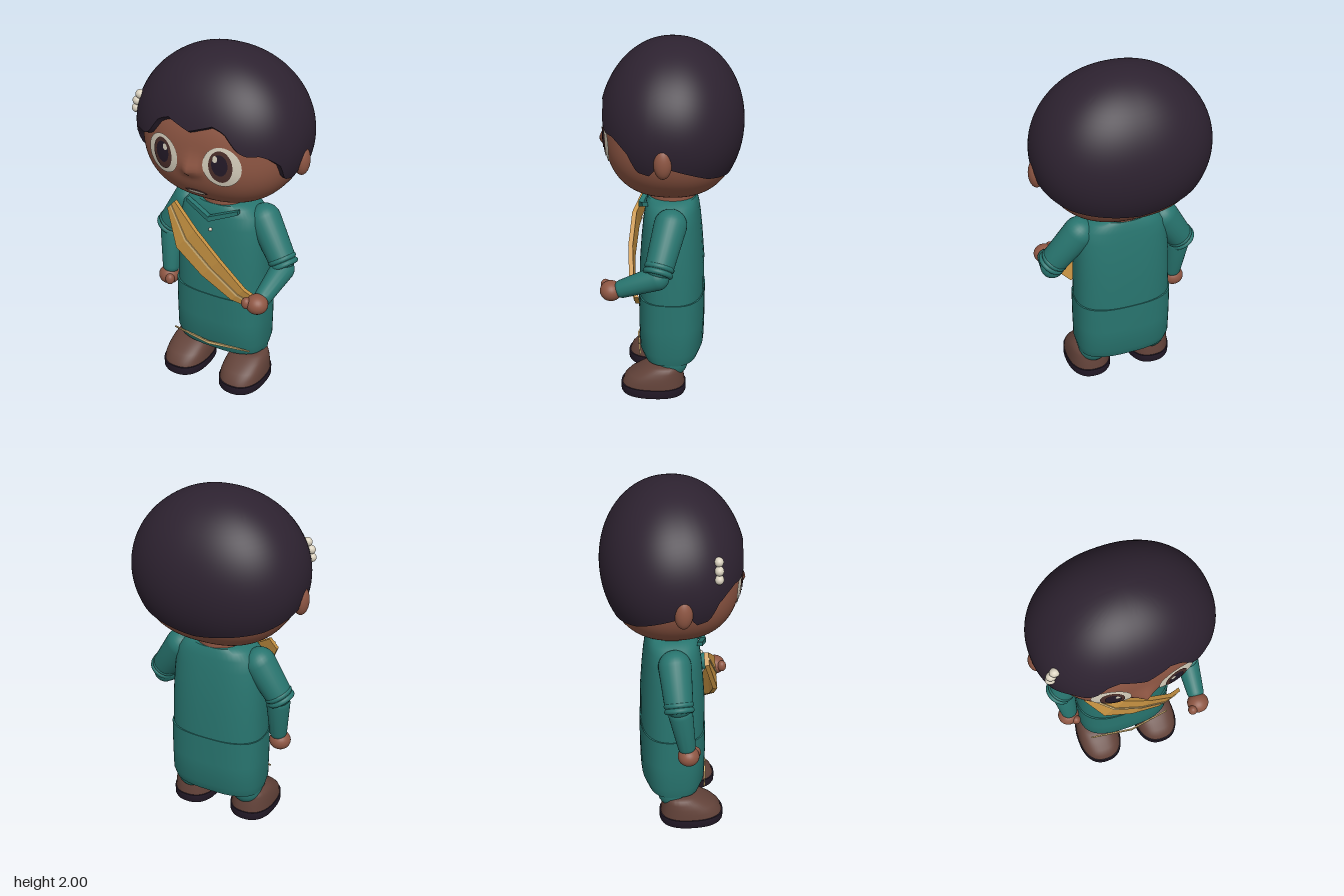
import * as THREE from 'three';
import { toCreasedNormals } from 'three/addons/utils/BufferGeometryUtils.js';

const V = (x, y, z) => new THREE.Vector3(x, y, z);
const mat = (name, color) => {
  const m = new THREE.MeshStandardMaterial({ color });
  m.name = name;
  return m;
};

// Signed power, used for squared-off ellipses
const sp = (v, p) => Math.sign(v) * Math.pow(Math.abs(v), 2 / p);

// Closed skin through rings of points, capped at both ends
function loft(rings, crease = 0.7) {
  const n = rings[0].length, pos = [], idx = [];
  rings.forEach(r => r.forEach(p => pos.push(p.x, p.y, p.z)));
  const centre = r => r.reduce((s, p) => s.add(p), V(0, 0, 0)).divideScalar(n);
  const last = rings.length - 1, c0 = rings.length * n, c1 = c0 + 1;
  for (const r of [rings[0], rings[last]]) pos.push(...centre(r).toArray());
  for (let j = 0; j < n; j++) {
    const k = (j + 1) % n;
    for (let i = 0; i < last; i++) {
      const a = i * n + j, b = i * n + k;
      idx.push(a, b, b + n, a, b + n, a + n);
    }
    idx.push(c0, k, j, c1, last * n + j, last * n + k);
  }
  const g = new THREE.BufferGeometry();
  g.setAttribute('position', new THREE.Float32BufferAttribute(pos, 3));
  g.setIndex(idx);
  return toCreasedNormals(g, crease);
}

// Upright body from sections [y, halfWidth, halfDepth, centreZ]
function upright(sections, p = 2, n = 48) {
  return loft(sections.map(([y, rx, rz, cz = 0]) => Array.from({ length: n }, (_, j) => {
    const t = j / n * Math.PI * 2;
    return V(rx * sp(Math.sin(t), p), y, cz + rz * sp(Math.cos(t), p));
  })));
}

// Flat strip along points, facing +z, with a half width at each point
function ribbon(points, halves, thick) {
  const d = points[points.length - 1].clone().sub(points[0]).setZ(0).normalize();
  const w = V(d.y, -d.x, 0);
  return loft(points.map((p, i) => [[-1, 1], [1, 1], [1, -1], [-1, -1]].map(([s, f]) =>
    p.clone().addScaledVector(w, s * halves[i]).add(V(0, 0, f * thick / 2)))), 0.1);
}

// Head surface
const HEAD = { y: 1.52, a: 0.44, b: 0.365, c: 0.36, p: 2.4 };
const nose = (x, y) => 0.045 * Math.exp(-((x / 0.045) ** 2) - ((y - 1.43) / (y > 1.43 ? 0.065 : 0.032)) ** 2);
function faceZ(x, y) {
  const { a, b, c, p } = HEAD;
  const r = 1 - Math.abs(x / a) ** p - Math.abs((y - HEAD.y) / b) ** p;
  return c * Math.max(r, 0) ** (1 / p) + nose(x, y);
}
function headGeometry() {
  const { a, b, c, p } = HEAD, n = 96, m = 72, rings = [];
  for (let i = 0; i <= m; i++) {
    const lat = (i / m - 0.5) * Math.PI * 0.998, h = sp(Math.cos(lat), p);
    rings.push(Array.from({ length: n }, (_, j) => {
      const t = j / n * Math.PI * 2;
      const x = a * h * sp(Math.sin(t), p), y = HEAD.y + b * sp(Math.sin(lat), p);
      const z = c * h * sp(Math.cos(t), p);
      return V(x, y, z + (z > 0 ? nose(x, y) : 0));
    }));
  }
  return loft(rings, 1.2);
}

// Oval lying on the face
function facePatch(cx, cy, rx, ry, lift) {
  const g = new THREE.RingGeometry(0.001, 1, 40, 6), q = g.attributes.position;
  for (let i = 0; i < q.count; i++) {
    const x = cx + rx * q.getX(i), y = cy + ry * q.getY(i);
    q.setXYZ(i, x, y, faceZ(x, y) + lift);
  }
  g.computeVertexNormals();
  return g;
}

// Hairline height by angle from the front: [angle, y]
const HAIRLINE = [[0, 1.655], [0.1, 1.675], [0.25, 1.7], [0.38, 1.675], [0.52, 1.585], [0.62, 1.56], [0.8, 1.56],
  [0.95, 1.53], [1.08, 1.49], [1.2, 1.395], [1.38, 1.38], [1.5, 1.44], [1.65, 1.42], [2.2, 1.345], [3.15, 1.285]];
function hairline(t) {
  t = Math.min(t, Math.PI * 2 - t);
  const i = HAIRLINE.findIndex(k => k[0] > t), [t0, y0] = HAIRLINE[i - 1], [t1, y1] = HAIRLINE[i];
  return THREE.MathUtils.lerp(y0, y1, (t - t0) / (t1 - t0));
}
function hairGeometry() {
  const n = 128, m = 28, rings = [];
  for (let i = 0; i <= m; i++) {
    rings.push(Array.from({ length: n }, (_, j) => {
      const t = j / n * Math.PI * 2, low = Math.asin((hairline(t) - 1.55) / 0.45);
      const lat = THREE.MathUtils.lerp(low, Math.PI / 2 - 0.005, i / m), h = Math.cos(lat);
      return V(0.49 * h * sp(Math.sin(t), 2.2), 1.55 + 0.45 * Math.sin(lat), 0.388 * h * sp(Math.cos(t), 2.2));
    }));
  }
  return loft(rings, 0.9);
}

export function createModel() {
  const hair = mat('dark hair', 0x2d2230), skin = mat('brown skin', 0x8e5643), teal = mat('teal cloth', 0x28756f);
  const gold = mat('gold sash', 0xc69242), trim = mat('pale gold trim', 0xd9b778), cream = mat('cream', 0xd8d0be);
  const shoe = mat('shoe brown', 0x624239), iris = mat('iris brown', 0x4d302c), pupil = mat('pupil dark', 0x241a28);

  const model = new THREE.Group();
  model.name = 'figure';
  const add = (name, geo, m, parent = model) => {
    const mesh = new THREE.Mesh(geo, m);
    mesh.name = name;
    parent.add(mesh);
    return mesh;
  };
  const ball = (name, m, at, size) => {
    const mesh = add(name, new THREE.SphereGeometry(1, 28, 20), m);
    mesh.position.copy(at);
    mesh.scale.copy(size);
    return mesh;
  };
  // Tapered limb with round ends
  const limb = (name, m, a, b, ra, rb) => {
    const len = a.distanceTo(b), sections = [];
    for (let i = 0; i <= 16; i++) {
      const s = (i / 16 - 0.5) * Math.PI * 0.99, end = i < 8 ? 0 : 1, r = end ? rb : ra;
      if (i === 8) sections.push([0, ra, ra]);
      sections.push([end * len + r * Math.sin(s), r * Math.cos(s), r * Math.cos(s)]);
    }
    const mesh = add(name, upright(sections, 2, 28), m);
    mesh.position.copy(a);
    mesh.quaternion.setFromUnitVectors(V(0, 1, 0), b.clone().sub(a).normalize());
  };

  // Head and hair
  add('head', headGeometry(), skin);
  add('hair', hairGeometry(), hair);
  add('neck', upright([[1.06, 0.13, 0.13], [1.24, 0.13, 0.13]]), skin);

  // Ears, eyes, legs and shoes
  for (const s of [-1, 1]) {
    const side = s > 0 ? 'left' : 'right';
    ball(side + 'Ear', skin, V(s * 0.463, 1.455, 0.01), V(0.043, 0.083, 0.048));
    add(side + 'EyeWhite', facePatch(s * 0.175, 1.48, 0.1, 0.112, 0.006), cream);
    add(side + 'Iris', facePatch(s * 0.172, 1.485, 0.062, 0.09, 0.01), iris);
    add(side + 'Pupil', facePatch(s * 0.17, 1.495, 0.042, 0.06, 0.013), pupil);
    add(side + 'EyeGlint', facePatch(s * 0.148, 1.53, 0.014, 0.019, 0.016), cream);

    limb(side + 'TrouserLeg', teal, V(s * 0.18, 0.18, -0.015), V(s * 0.18, 0.34, -0.015), 0.088, 0.088);
    const foot = new THREE.Group();
    foot.name = side + 'Foot';
    foot.position.x = s * 0.188;
    model.add(foot);
    add('sole', upright([[0, 0.125, 0.178, 0.092], [0.012, 0.132, 0.184, 0.092], [0.055, 0.132, 0.184, 0.092]], 2.4), pupil, foot);
    add('shoeUpper', upright([[0.05, 0.127, 0.178, 0.092], [0.085, 0.125, 0.17, 0.088], [0.115, 0.12, 0.152, 0.075],
      [0.145, 0.112, 0.122, 0.052], [0.168, 0.1, 0.1, 0.035], [0.178, 0.085, 0.08, 0.025]], 2.4), shoe, foot);
  }

  // Mouth
  add('lips', facePatch(0, 1.283, 0.068, 0.021, 0.004), iris);
  add('teeth', facePatch(0, 1.279, 0.054, 0.011, 0.008), cream);

  // Tunic
  add('tunicTop', upright([[0.56, 0.279, 0.18], [0.75, 0.276, 0.179], [0.9, 0.268, 0.168], [1.0, 0.257, 0.158],
    [1.07, 0.24, 0.148], [1.11, 0.2, 0.14], [1.13, 0.15, 0.132]], 2.6), teal);
  add('tunicSkirt', upright([[0.19, 0.268, 0.155], [0.25, 0.282, 0.18], [0.4, 0.284, 0.184], [0.57, 0.284, 0.184]], 2.8), teal);
  add('collar', ribbon([V(-0.16, 1.12, 0.135), V(0, 1.06, 0.175), V(0.16, 1.12, 0.135)], [0.012, 0.015, 0.012], 0.03), teal);
  ball('button', cream, V(0, 0.985, 0.165), V(0.01, 0.01, 0.01));
  add('hemTrim', ribbon([V(-0.25, 0.25, 0.16), V(0, 0.25, 0.198), V(0.25, 0.25, 0.16)], [0.003, 0.009, 0.003], 0.008), trim);

  // Diagonal sash with a centre stripe
  const path = [V(-0.25, 1.075, 0.16), V(-0.12, 0.92, 0.22), V(0.04, 0.785, 0.226), V(0.2, 0.65, 0.205), V(0.28, 0.6, 0.17)];
  add('sash', ribbon(path, [0.036, 0.092, 0.083, 0.058, 0.042], 0.025), gold);
  add('sashStripe', ribbon(path.map(p => p.clone().add(V(0, 0, 0.013))), [0.006, 0.008, 0.008, 0.008, 0.006], 0.009), trim);

  // Arms: the right hangs down, the left reaches forward
  const arms = [
    ['right', V(-0.245, 1.035, -0.01), V(-0.362, 0.85, 0), V(-0.352, 0.8, 0.01), V(-0.342, 0.59, 0.045),
      V(-0.35, 0.527, 0.055), V(-0.318, 0.527, 0.1)],
    ['left', V(0.245, 1.035, -0.01), V(0.385, 0.835, 0.04), V(0.39, 0.79, 0.05), V(0.375, 0.715, 0.235),
      V(0.368, 0.697, 0.3), V(0.322, 0.708, 0.335)],
  ];
  for (const [side, shoulder, cuff, elbow, wrist, hand, thumb] of arms) {
    const dir = cuff.clone().sub(shoulder).normalize();
    limb(side + 'Sleeve', teal, shoulder, cuff.clone().addScaledVector(dir, -0.02), 0.09, 0.078);
    limb(side + 'Forearm', teal, elbow, wrist, 0.067, 0.05);
    for (const k of [-0.012, 0.018]) {
      const ring = add(side + 'Cuff', new THREE.TorusGeometry(0.066, 0.016, 12, 36), teal);
      ring.position.copy(cuff).addScaledVector(dir, k);
      ring.quaternion.setFromUnitVectors(V(0, 0, 1), dir);
    }
    ball(side + 'Hand', skin, hand, V(0.062, 0.055, 0.06));
    ball(side + 'Thumb', skin, thumb, V(0.027, 0.034, 0.027));
  }

  // Beaded hair clip
  for (const [x, y] of [[-0.437, 1.622], [-0.43, 1.665], [-0.41, 1.705]])
    ball('hairBead', cream, V(x, y, 0.19), V(0.028, 0.025, 0.024));

  return model;
}
